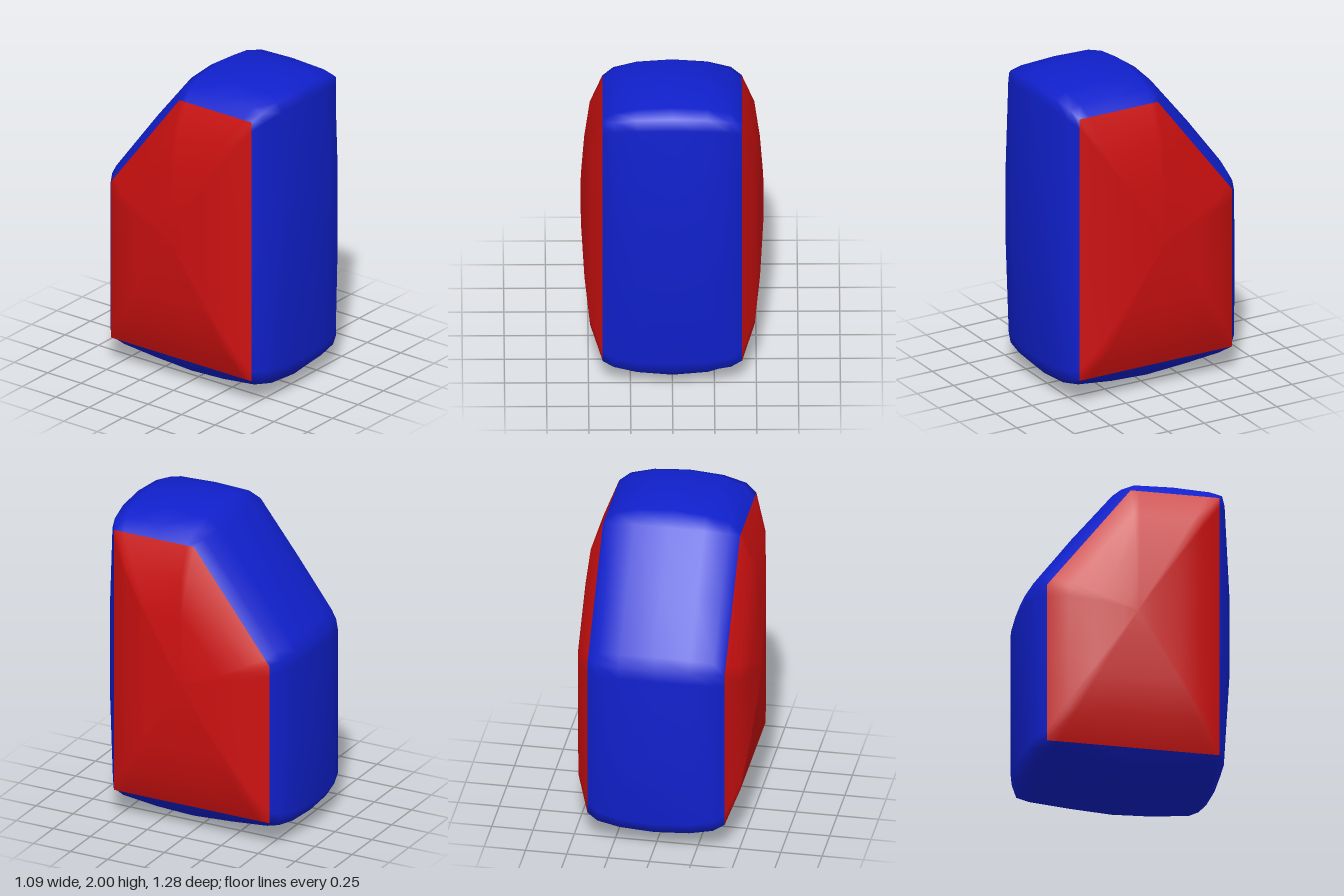
import * as THREE from 'three';

// Each entry pairs a point of the flat side outline with the bulged mid outline: [edgeZ, edgeY, midZ, midY]
const OUTLINE = [
  [0.52, 0.17, 0.575, 0.125], [0.52, 0.24, 0.60, 0.20], [0.52, 0.80, 0.64, 0.80],
  [0.52, 1.30, 0.64, 1.30], [0.52, 1.80, 0.605, 1.88], [0.52, 1.86, 0.575, 1.945],
  [0.45, 1.86, 0.50, 1.98], [0.23, 1.86, 0.26, 2.00], [0.03, 1.86, 0.00, 1.985],
  [-0.02, 1.86, -0.10, 1.92], [-0.275, 1.525, -0.35, 1.61], [-0.50, 1.23, -0.58, 1.30],
  [-0.53, 1.19, -0.61, 1.23], [-0.53, 1.12, -0.635, 1.16], [-0.53, 0.68, -0.637, 0.68],
  [-0.53, 0.24, -0.635, 0.19], [-0.53, 0.17, -0.585, 0.11], [-0.46, 0.17, -0.50, 0.07],
  [-0.24, 0.17, -0.25, 0.03], [0.02, 0.17, 0.02, 0.00], [0.25, 0.17, 0.27, 0.02],
  [0.46, 0.17, 0.52, 0.07],
];
const EDGE_X = 0.415;

// Skin a series of closed rings ordered by increasing x
function skin(rings) {
  const n = rings[0].length, index = [];
  for (let i = 0; i < rings.length - 1; i++) {
    for (let j = 0; j < n; j++) {
      const k = (j + 1) % n;
      const a = i * n + j, b = i * n + k, c = a + n, d = b + n;
      index.push(a, c, b, b, c, d);
    }
  }
  const geo = new THREE.BufferGeometry();
  geo.setAttribute('position', new THREE.Float32BufferAttribute(rings.flat(2), 3));
  geo.setIndex(index);
  geo.computeVertexNormals();
  return geo;
}

// Ring of the wraparound shell: t = 0 at the side outline, 1 at the middle
const shellRing = (x, t) => OUTLINE.map(([ez, ey, mz, my]) =>
  [x, THREE.MathUtils.lerp(ey, my, t), THREE.MathUtils.lerp(ez, mz, t)]);

// Ring of a side panel: the side outline shrunk toward its centre
const panelRing = (x, s) => OUTLINE.map(([ez, ey]) => [x, 1.015 + (ey - 1.015) * s, ez * s]);

export function createModel() {
  const group = new THREE.Group();
  const blue = new THREE.MeshStandardMaterial({ color: 0x1020cc });
  const red = new THREE.MeshStandardMaterial({ color: 0xcc1010 });
  const add = (name, rings, material) => {
    const mesh = new THREE.Mesh(skin(rings), material);
    mesh.name = name;
    group.add(mesh);
  };

  // Blue shell around front, top, sloped back and bottom
  const half = [[EDGE_X, 0], [0.35, 0.52], [0.21, 0.86]];
  add('shell', [
    ...half.map(([x, t]) => shellRing(-x, t)),
    shellRing(0, 1),
    ...half.slice().reverse().map(([x, t]) => shellRing(x, t)),
  ], blue);

  // Domed red side panels
  const dome = [[EDGE_X, 1], [0.49, 0.78], [0.523, 0.49], [0.543, 0.17], [0.545, 0.001]];
  add('leftPanel', dome.map(([x, s]) => panelRing(x, s)), red);
  add('rightPanel', dome.slice().reverse().map(([x, s]) => panelRing(-x, s)), red);

  return group;
}
